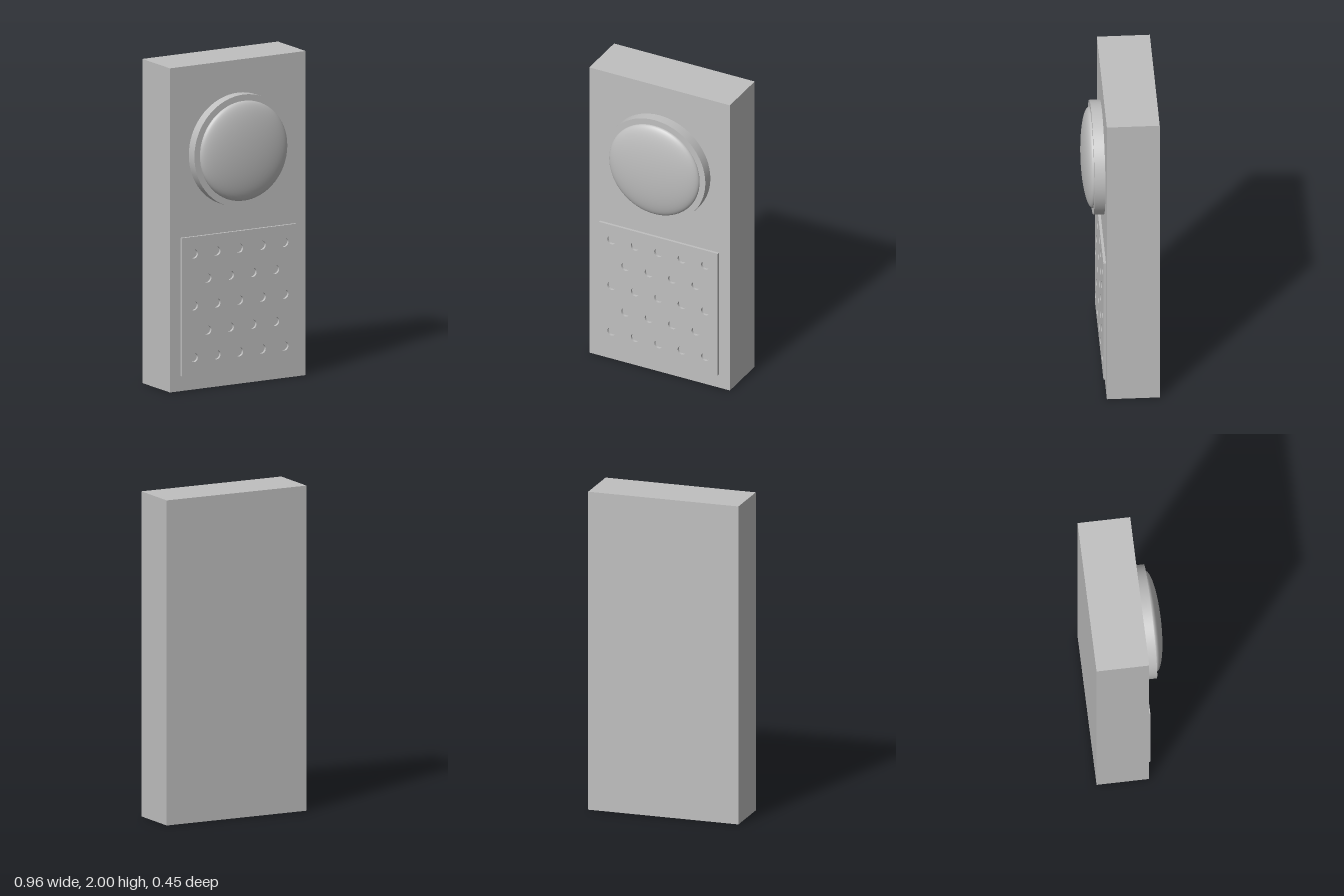
import * as THREE from 'three';

export function createModel() {
  const model = new THREE.Group();
  model.name = 'wallUnit';
  const grey = new THREE.MeshStandardMaterial({ color: 0xc0c0c0 });
  grey.name = 'light grey';

  const add = (name, geometry, x, y, z) => {
    const mesh = new THREE.Mesh(geometry, grey);
    mesh.name = name;
    mesh.position.set(x, y, z);
    model.add(mesh);
    return mesh;
  };

  const faceZ = 0.095; // front face of the housing
  const lensY = 1.45;

  // Housing block
  add('housing', new THREE.BoxGeometry(0.96, 2, 0.32), 0, 1, faceZ - 0.16);

  // Round collar around the lens
  const collar = new THREE.CylinderGeometry(0.347, 0.347, 0.065, 64);
  collar.rotateX(Math.PI / 2);
  add('lensCollar', collar, 0, lensY, faceZ + 0.0325);

  // Shallow domed lens: half an ellipsoid facing forward
  const dome = new THREE.SphereGeometry(1, 64, 16, 0, Math.PI * 2, 0, Math.PI / 2);
  dome.rotateX(Math.PI / 2);
  dome.scale(0.308, 0.308, 0.063);
  add('lensDome', dome, 0, lensY, faceZ + 0.065);

  // Grille plate with staggered rows of round holes
  const plate = new THREE.Shape();
  plate.moveTo(-0.405, 0.094);
  plate.lineTo(0.405, 0.094);
  plate.lineTo(0.405, 0.946);
  plate.lineTo(-0.405, 0.946);
  plate.closePath();
  const step = 0.16;
  for (let row = 0; row < 5; row++) {
    const odd = row % 2 === 1;
    for (let i = 0; i < (odd ? 4 : 5); i++) {
      const x = (odd ? -0.225 : -0.32) + i * step;
      const hole = new THREE.Path();
      hole.absarc(x, 0.2 + row * step, 0.028, 0, Math.PI * 2, true);
      plate.holes.push(hole);
    }
  }
  const grille = new THREE.ExtrudeGeometry(plate, {
    depth: 0.016, bevelEnabled: false, curveSegments: 24,
  });
  add('grillePlate', grille, 0, 0, faceZ);

  return model;
}
